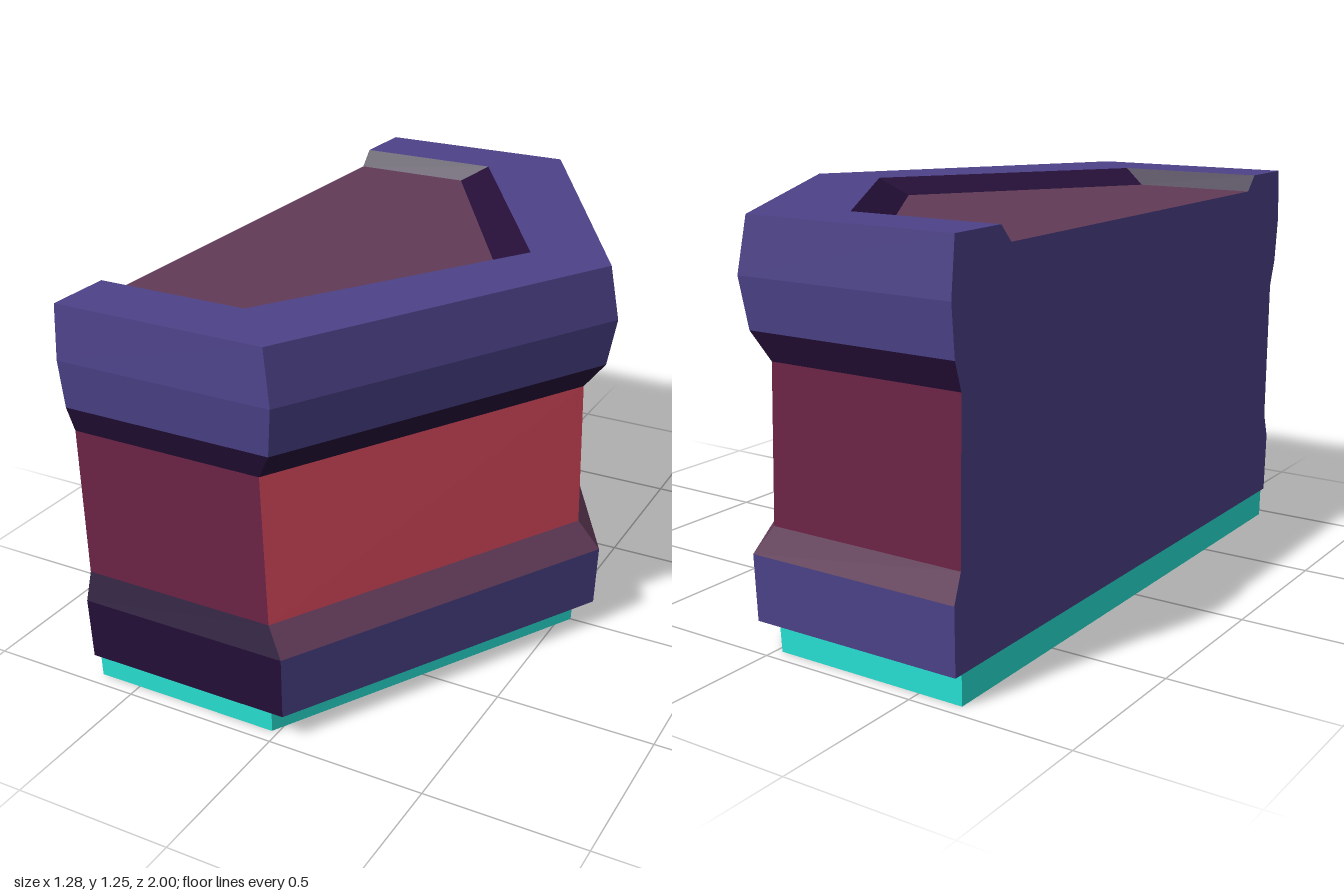
import * as THREE from 'three';

const mat = (name, color) => {
  const m = new THREE.MeshStandardMaterial({ color });
  m.name = name;
  return m;
};

const BACK = -0.64;

// Half-hexagon outline at height y: half depth z, shoulder x and tip x
const level = (y, z, shoulder, tip) => [
  [BACK, y, z], [shoulder, y, z], [tip, y, 0], [shoulder, y, -z], [BACK, y, -z],
].map((p) => new THREE.Vector3(...p));

// Flat-shaded faces from convex polygons
function faces(polys) {
  const pts = [];
  for (const p of polys) {
    for (let i = 1; i < p.length - 1; i++) pts.push(p[0], p[i], p[i + 1]);
  }
  const g = new THREE.BufferGeometry().setFromPoints(pts);
  g.computeVertexNormals();
  return g;
}

export function createModel() {
  const purple = mat('purple', 0x4c4289);
  const dark = mat('dark purple', 0x250f38);
  const red = mat('red', 0xdb4a5e);
  const maroon = mat('maroon', 0x6c2346);
  const mauve = mat('mauve', 0x613a57);
  const cyan = mat('cyan', 0x28e2d4);
  const grey = mat('grey', 0xbcbcbc);

  const group = new THREE.Group();
  const add = (name, geometry, material) => {
    const mesh = new THREE.Mesh(geometry, material);
    mesh.name = name;
    group.add(mesh);
  };

  // Outlines from the ground up
  const baseLow = level(0, 0.955, -0.02, 0.535);
  const baseTop = level(0.09, 0.957, -0.015, 0.54);
  const bandLow = level(0.09, 0.985, 0.04, 0.61);
  const bandTop = level(0.29, 0.99, 0.047, 0.62);
  const bodyLow = level(0.375, 0.96, -0.008, 0.545);
  const bodyTop = level(0.845, 0.957, -0.015, 0.54);
  const capLow = level(0.93, 0.985, 0.037, 0.608);
  const capMid = level(1.08, 1.0, 0.06, 0.638);
  const capTop = level(1.245, 0.985, 0.037, 0.608);
  const rimInner = level(1.245, 0.78, -0.155, 0.35);
  const floor = level(1.195, 0.732, -0.24, 0.23);

  // Four sides between two outlines; colours run front, two diagonals, rear
  const ring = (name, a, b, front, diagonal = front, rear = diagonal) => {
    const quad = (i) => [a[i], a[i + 1], b[i + 1], b[i]];
    add(name + 'Front', faces([quad(0)]), front);
    add(name + 'Diagonals', faces([quad(1), quad(2)]), diagonal);
    add(name + 'Rear', faces([quad(3)]), rear);
  };

  ring('base', baseLow, baseTop, cyan);
  ring('bandUnderside', baseTop, bandLow, grey);
  ring('lowerBand', bandLow, bandTop, dark, purple);
  ring('lowerBevel', bandTop, bodyLow, dark, mauve);
  ring('body', bodyLow, bodyTop, maroon, red, maroon);
  ring('upperBevel', bodyTop, capLow, dark);
  ring('capLower', capLow, capMid, purple);
  ring('capUpper', capMid, capTop, purple);
  ring('rim', capTop, rimInner, purple);
  ring('recessWall', rimInner, floor, dark);

  add('recessFloor', faces([floor]), mauve);
  add('baseBottom', faces([[...baseLow].reverse()]), cyan);
  add('baseBack', faces([[baseLow[4], baseLow[0], baseTop[0], baseTop[4]]]), cyan);

  // Flat back wall follows the side profile, including the recess notch
  const profile = [bandLow, bandTop, bodyLow, bodyTop, capLow, capMid, capTop, rimInner, floor];
  const outline = [
    ...profile.map((l) => new THREE.Vector2(l[0].z, l[0].y)),
    ...[...profile].reverse().map((l) => new THREE.Vector2(l[4].z, l[4].y)),
  ];
  const wall = new THREE.ShapeGeometry(new THREE.Shape(outline));
  wall.rotateY(-Math.PI / 2).translate(BACK, 0, 0);
  add('backWall', wall, purple);

  return group;
}
